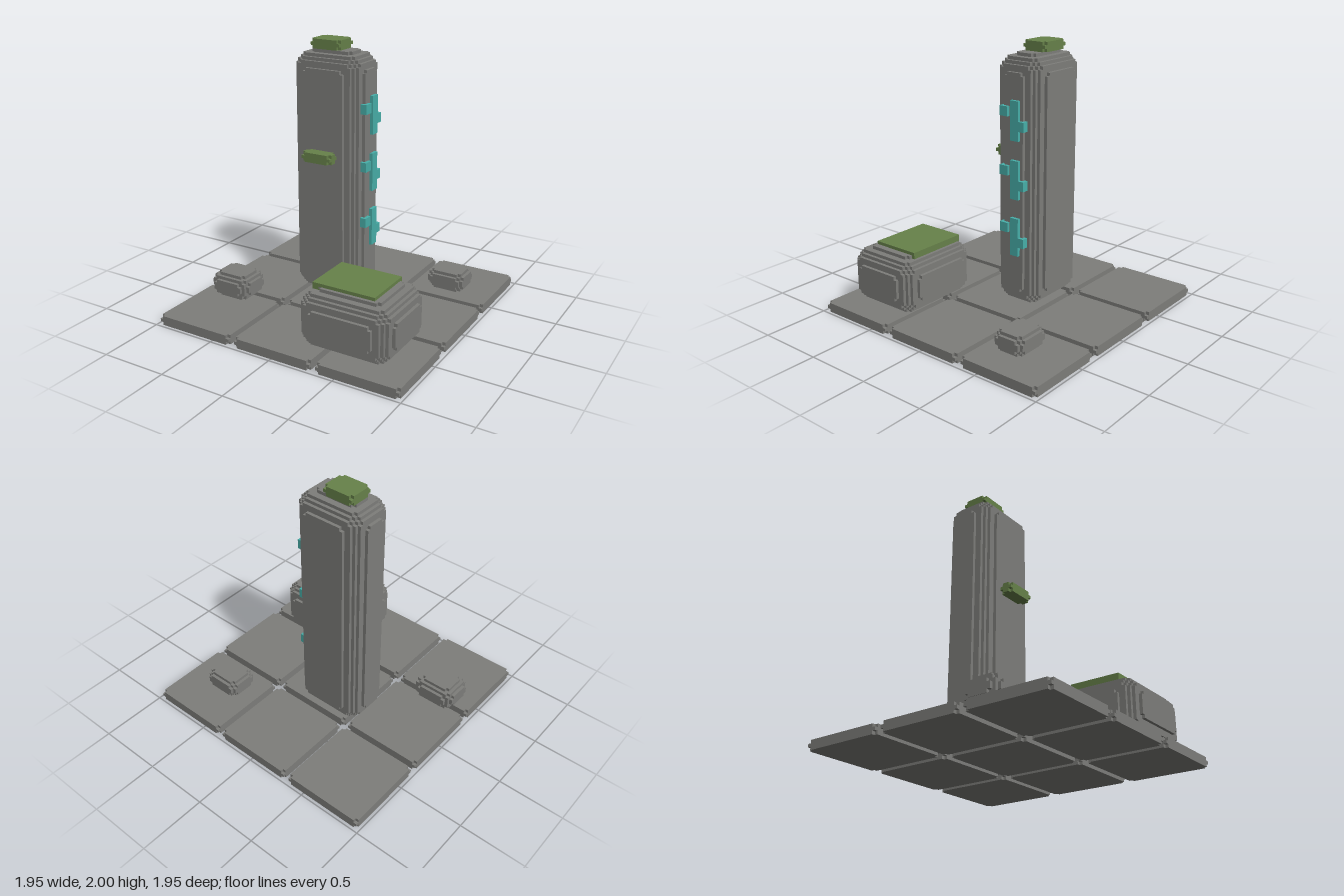
import * as THREE from 'three';

const UNIT = 1 / 42; // edge of one block

const stone = new THREE.MeshStandardMaterial({ color: 0x7e7e7b });
stone.name = 'grey stone';
const moss = new THREE.MeshStandardMaterial({ color: 0x67824a });
moss.name = 'moss green';
const crystal = new THREE.MeshStandardMaterial({ color: 0x48b0aa });
crystal.name = 'turquoise';

// Surface of a box of small cubes whose edges are rounded in steps
function steppedBoxGeometry(min, max, radius) {
  const size = max.map((m, i) => m - min[i]);
  const limit = radius * radius - radius + 0.6;
  const filled = (cell) => {
    let sum = 0;
    for (let i = 0; i < 3; i++) {
      if (cell[i] < 0 || cell[i] >= size[i]) return false;
      const d = Math.max(0, radius - 0.5 - Math.min(cell[i], size[i] - 1 - cell[i]));
      sum += d * d;
    }
    return sum <= limit;
  };

  const positions = [], normals = [], index = [];
  const addFace = (a, sign, layer, u0, u1, v) => {
    const u = (a + 1) % 3, w = (a + 2) % 3, base = positions.length / 3;
    for (const [pu, pw] of [[u0, v], [u1, v], [u1, v + 1], [u0, v + 1]]) {
      const p = [0, 0, 0], n = [0, 0, 0];
      p[a] = layer + (sign > 0 ? 1 : 0);
      p[u] = pu;
      p[w] = pw;
      n[a] = sign;
      positions.push(...p.map((c, i) => (c + min[i]) * UNIT));
      normals.push(...n);
    }
    const order = sign > 0 ? [0, 1, 2, 0, 2, 3] : [0, 2, 1, 0, 3, 2];
    index.push(...order.map((i) => base + i));
  };

  // For every direction, join neighbouring open cell faces into strips
  for (let a = 0; a < 3; a++) {
    const u = (a + 1) % 3, w = (a + 2) % 3;
    for (const sign of [-1, 1]) {
      for (let layer = 0; layer < size[a]; layer++) {
        for (let v = 0; v < size[w]; v++) {
          let start = -1;
          for (let k = 0; k <= size[u]; k++) {
            const cell = [0, 0, 0];
            cell[a] = layer;
            cell[u] = k;
            cell[w] = v;
            const next = [...cell];
            next[a] += sign;
            const open = filled(cell) && !filled(next);
            if (open && start < 0) start = k;
            if (!open && start >= 0) {
              addFace(a, sign, layer, start, k, v);
              start = -1;
            }
          }
        }
      }
    }
  }

  const geometry = new THREE.BufferGeometry();
  geometry.setAttribute('position', new THREE.Float32BufferAttribute(positions, 3));
  geometry.setAttribute('normal', new THREE.Float32BufferAttribute(normals, 3));
  geometry.setIndex(index);
  return geometry;
}

export function createModel() {
  const model = new THREE.Group();
  model.name = 'stonePillarScene';

  const add = (name, material, min, max, radius = 0, parent = model) => {
    const mesh = new THREE.Mesh(steppedBoxGeometry(min, max, radius), material);
    mesh.name = name;
    parent.add(mesh);
  };

  // Floor: three by three paving slabs with gaps
  const floor = new THREE.Group();
  floor.name = 'floor';
  model.add(floor);
  for (const x of [-41, -13, 15]) {
    for (const z of [-41, -13, 15]) {
      add('floorSlab', stone, [x, 0, z], [x + 26, 3, z + 26], 1, floor);
    }
  }

  // Tall pillar with moss on its top and front
  add('pillar', stone, [-18, 3, -14], [6, 81, 3], 6);
  add('pillarTopMoss', moss, [-13, 81, -10], [-3, 84, -2], 1);
  add('pillarFrontMoss', moss, [-11, 48, 3], [-1, 51, 7], 1);

  // Three glyphs up the pillar's left side
  for (const y of [20, 38, 56]) {
    const glyph = new THREE.Group();
    glyph.name = 'glyph';
    model.add(glyph);
    add('glyphBar', crystal, [5, y, -8], [7, y + 12, -5], 0, glyph);
    add('glyphArm', crystal, [5, y + 3, -10], [7, y + 6, -8], 0, glyph);
    add('glyphDot', crystal, [5, y + 7, -4], [7, y + 10, -1], 0, glyph);
  }

  // Boulders
  add('largeBoulder', stone, [5, 3, 11], [35, 21, 37], 6);
  add('boulderMoss', moss, [8, 20, 15], [28, 22, 31]);
  add('frontSmallBoulder', stone, [-37, 3, 10], [-23, 11, 22], 3);
  add('backSmallBoulder', stone, [20, 3, -29], [32, 9, -19], 2);

  return model;
}
